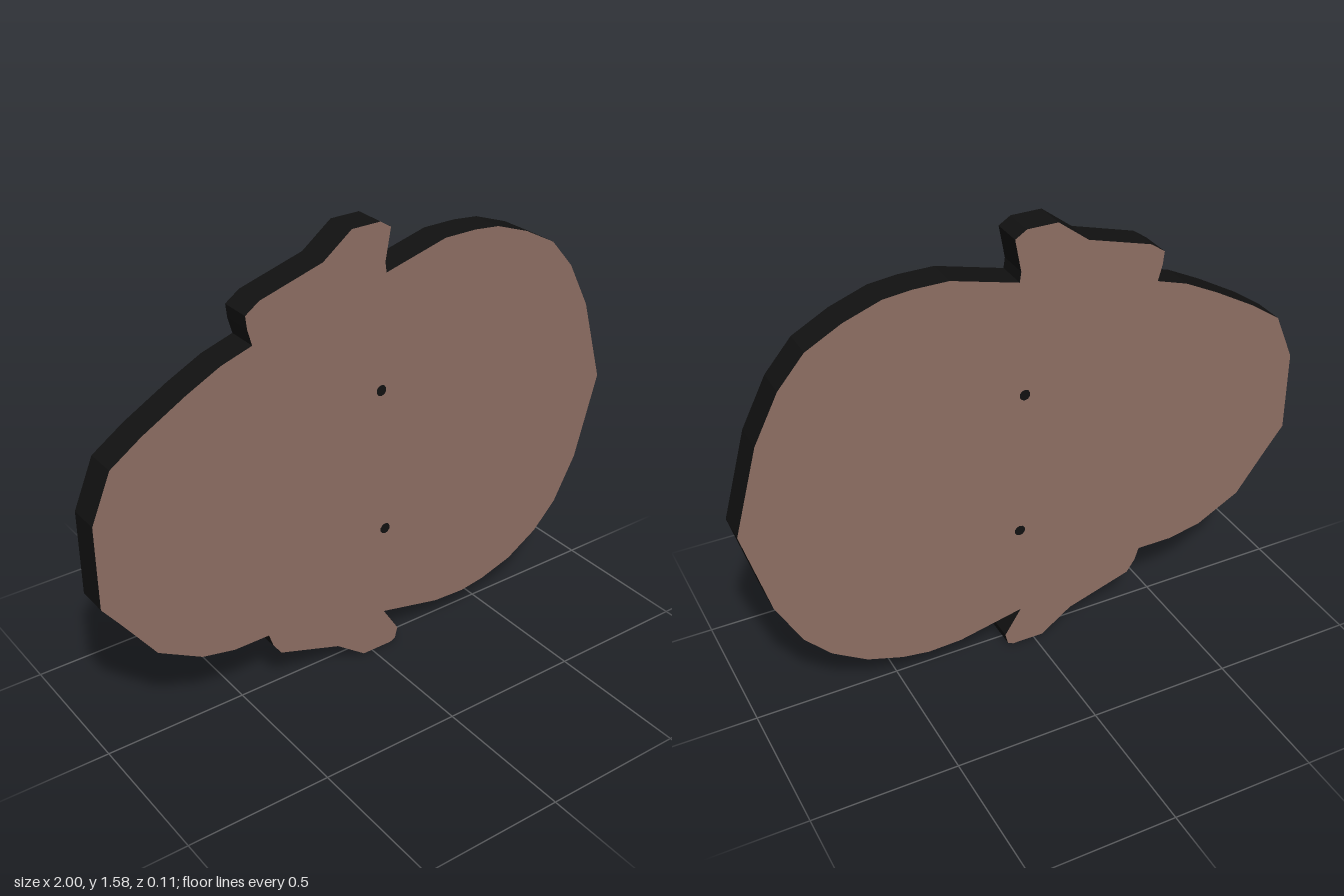
import * as THREE from 'three';

const DEPTH = 0.11;

// Outline of the slab, clockwise from the top tab
const OUTLINE = [
  // top tab, right end
  [-0.08, 1.58], [0.025, 1.58], [0.065, 1.555], [0.045, 1.445], [0.05, 1.41],
  // large round lobe
  [0.28, 1.47], [0.4, 1.47], [0.495, 1.46], [0.62, 1.415], [0.74, 1.35], [0.83, 1.245], [0.915, 1.08],
  [1, 0.78],
  [0.915, 0.475], [0.83, 0.315], [0.74, 0.22], [0.62, 0.145], [0.495, 0.105], [0.4, 0.09], [0.28, 0.095],
  // bottom tab
  [0.05, 0.145], [0.11, 0.05], [0.1, 0.01], [0.08, 0], [-0.035, 0], [-0.145, 0.08],
  [-0.375, 0.155], [-0.405, 0.2], [-0.42, 0.245],
  // narrow lobe
  [-0.55, 0.245], [-0.67, 0.27], [-0.825, 0.355], [-0.935, 0.505], [-1, 0.59], [-1, 0.88],
  [-0.93, 1.045], [-0.82, 1.12], [-0.67, 1.205], [-0.55, 1.265], [-0.44, 1.3],
  // top tab, left end
  [-0.455, 1.355], [-0.46, 1.4], [-0.41, 1.435], [-0.185, 1.5],
];

export function createModel() {
  const brown = new THREE.MeshStandardMaterial({ color: 0x8d6e63 });
  brown.name = 'brown face';
  const black = new THREE.MeshStandardMaterial({ color: 0x111111 });
  black.name = 'black edge';

  const model = new THREE.Group();
  model.name = 'slab';

  // Slab: brown front and back, black rim
  const shape = new THREE.Shape(OUTLINE.map(([x, y]) => new THREE.Vector2(x, y)));
  const geometry = new THREE.ExtrudeGeometry(shape, { depth: DEPTH, bevelEnabled: false });
  geometry.translate(0, 0, -DEPTH / 2);
  const body = new THREE.Mesh(geometry, [brown, black]);
  body.name = 'body';
  model.add(body);

  // Two small pins running through the slab, just proud of both faces
  for (const [name, x, y] of [['upperPin', 0.033, 1.01], ['lowerPin', 0.052, 0.485]]) {
    const pin = new THREE.Mesh(new THREE.CylinderGeometry(0.019, 0.019, DEPTH + 0.002, 10), black);
    pin.name = name;
    pin.rotation.x = Math.PI / 2;
    pin.position.set(x, y, 0);
    model.add(pin);
  }
  return model;
}
